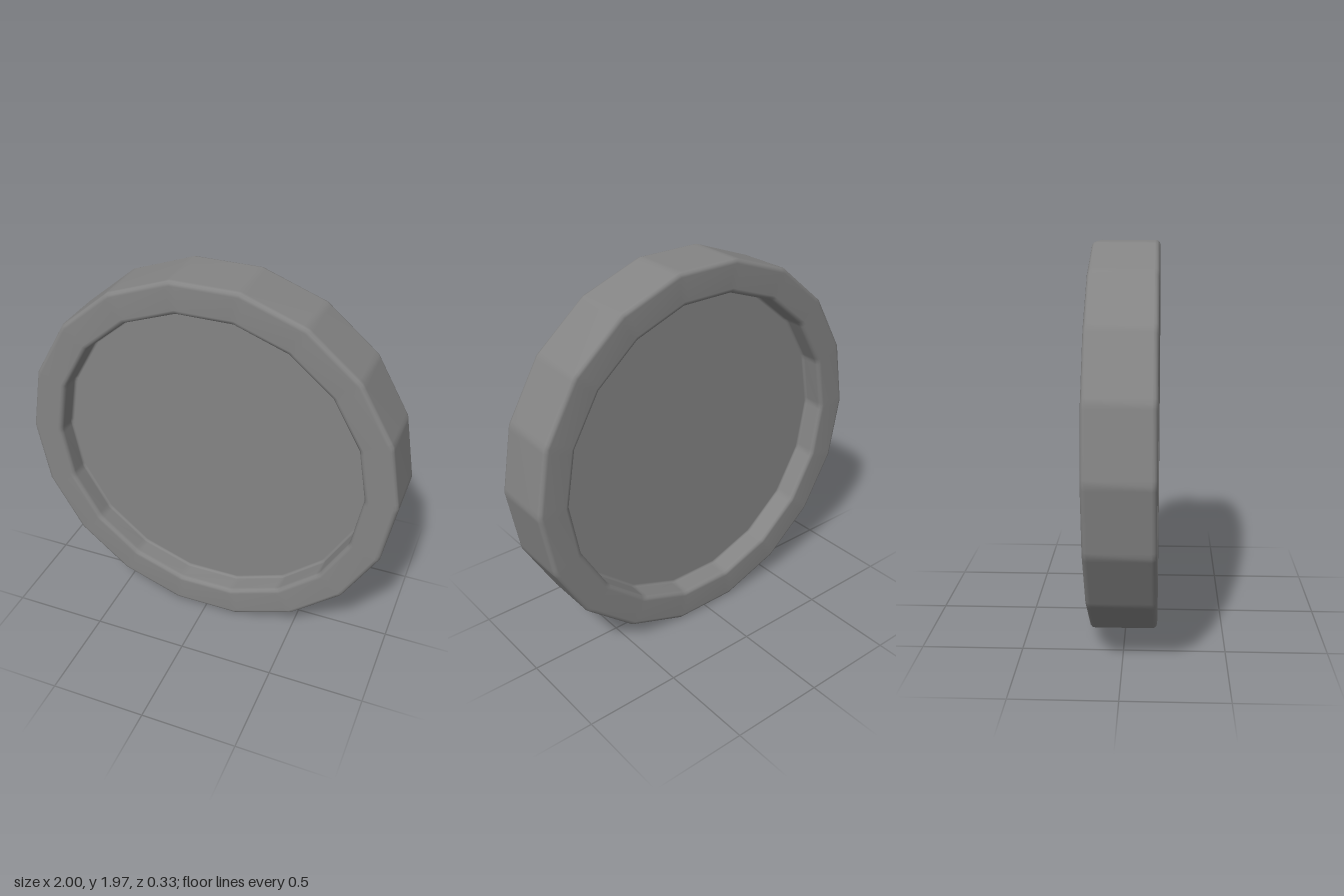
import * as THREE from 'three';

const SIDES = 18;
const OUTER = 1, INNER = 0.83, HALF_DEPTH = 0.165, FLOOR = 0.05;
const BEVEL = 0.025, FILLET = 0.015, SOFTEN = 0.025;
const APOTHEM = Math.cos(Math.PI / SIDES);

// Points of an arc in (radius, z)
function arc(r, z, size, from, to, steps = 3) {
  return Array.from({ length: steps + 1 }, (_, i) => {
    const a = THREE.MathUtils.degToRad(from + (to - from) * i / steps);
    return [r + size * Math.cos(a), z + size * Math.sin(a)];
  });
}

// Closed cross-section: rounded rim, inner wall and recessed floor, mirrored to the back
function discProfile() {
  const front = [
    ...arc(OUTER - BEVEL, HALF_DEPTH - BEVEL, BEVEL, 0, 90),
    ...arc(INNER + BEVEL, HALF_DEPTH - BEVEL, BEVEL, 90, 180),
    ...arc(INNER - FILLET, FLOOR + FILLET, FILLET, 0, -90),
    [0, FLOOR],
  ];
  const back = front.map(([r, z]) => [r, -z]).reverse();
  return [...front, ...back];
}

// Sweep the profile round a polygon; extra rows beside each corner keep the
// facets flat and blend the shading only across the corner
function sweepPolygon(profile) {
  const rows = [];
  const nearCorner = APOTHEM / Math.cos(Math.PI / SIDES - SOFTEN);
  for (let i = 0; i < SIDES; i++) {
    const a = i / SIDES * Math.PI * 2;
    rows.push([a - SOFTEN, nearCorner], [a, 1], [a + SOFTEN, nearCorner]);
  }
  const positions = [], index = [], n = profile.length, m = rows.length;
  for (const [a, scale] of rows) {
    for (const [r, z] of profile) {
      positions.push(r * scale * Math.cos(a), r * scale * Math.sin(a), z);
    }
  }
  for (let i = 0; i < m; i++) {
    for (let j = 0; j < n; j++) {
      const i2 = (i + 1) % m, j2 = (j + 1) % n;
      const a = i * n + j, b = i2 * n + j, c = i2 * n + j2, d = i * n + j2;
      index.push(a, b, c, a, c, d);
    }
  }
  const geometry = new THREE.BufferGeometry();
  geometry.setAttribute('position', new THREE.Float32BufferAttribute(positions, 3));
  geometry.setIndex(index);
  geometry.computeVertexNormals();
  return geometry;
}

export function createModel() {
  const group = new THREE.Group();
  group.name = 'disc';

  // Rim and recessed plate in one smooth surface
  const body = new THREE.Mesh(
    sweepPolygon(discProfile()),
    new THREE.MeshStandardMaterial({ color: 0x848484 }),
  );
  body.name = 'rimmedDisc';
  body.position.y = APOTHEM;
  group.add(body);
  return group;
}
